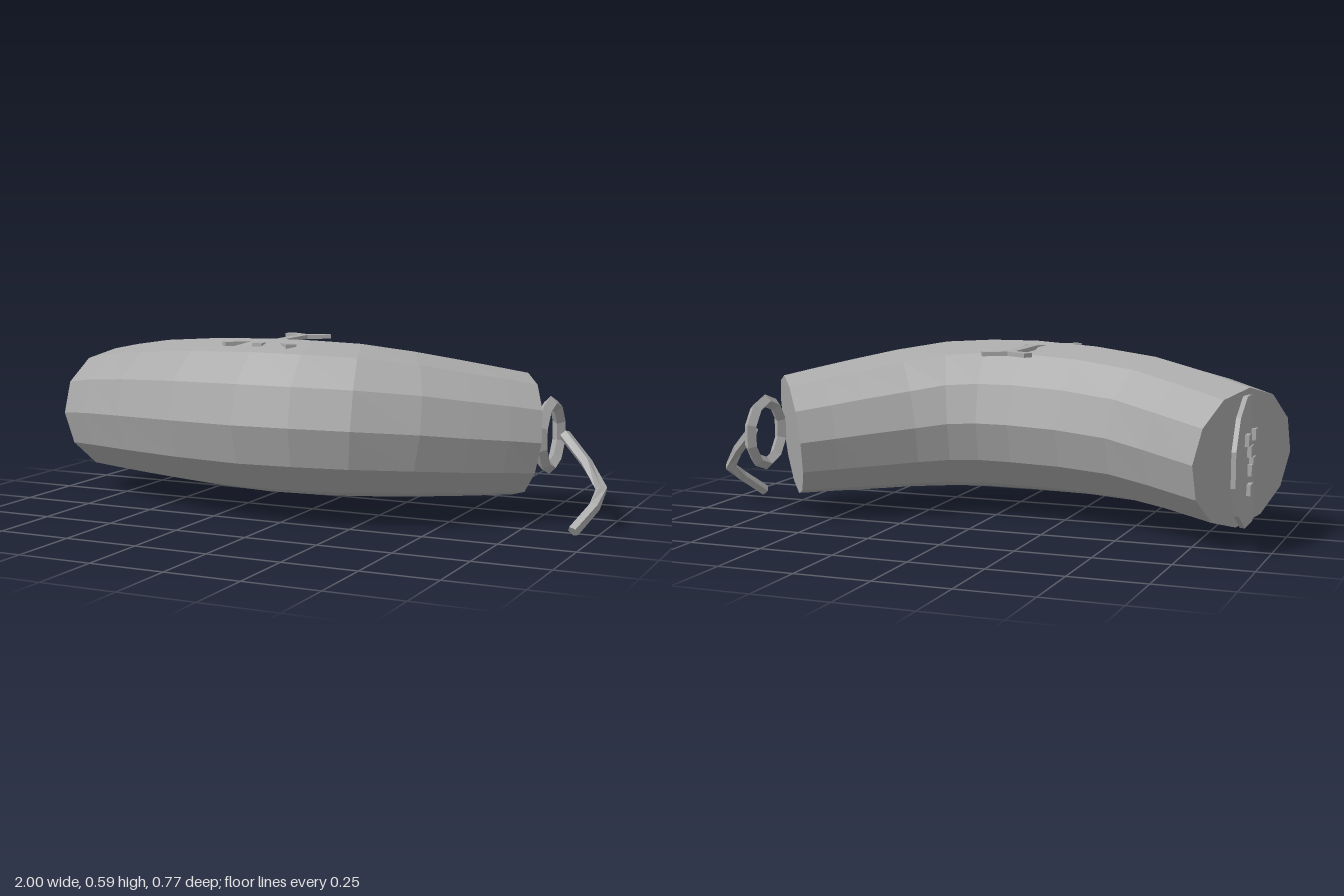
import * as THREE from 'three';

const grey = new THREE.MeshStandardMaterial({ color: 0xaaaaaa });
grey.name = 'plain grey';

// Faceted mesh: every face keeps its own normal
function part(name, geometry) {
  const flat = geometry.index ? geometry.toNonIndexed() : geometry;
  flat.computeVertexNormals();
  const mesh = new THREE.Mesh(flat, grey);
  mesh.name = name;
  return mesh;
}

const spline = (points) => new THREE.CatmullRomCurve3(points.map((p) => new THREE.Vector3(...p)));

// Capped polygonal tube along a curve, with a radius for each position t
function loft(curve, radiusAt, steps, sides, turn = 0) {
  const up = new THREE.Vector3(0, 1, 0);
  const pos = [], index = [];
  for (let i = 0; i <= steps; i++) {
    const t = i / steps;
    const c = curve.getPoint(t), dir = curve.getTangent(t), r = radiusAt(t);
    const n = new THREE.Vector3().crossVectors(dir, up).normalize();
    const v = new THREE.Vector3().crossVectors(n, dir);
    for (let j = 0; j < sides; j++) {
      const a = turn + (j / sides) * Math.PI * 2;
      const p = c.clone().addScaledVector(n, r * Math.cos(a)).addScaledVector(v, r * Math.sin(a));
      pos.push(p.x, p.y, p.z);
    }
  }
  const last = steps * sides;
  for (let j = 0; j < sides; j++) {
    const k = (j + 1) % sides;
    for (let i = 0; i < steps; i++) {
      const a = i * sides, b = a + sides;
      index.push(a + j, b + j, a + k, a + k, b + j, b + k);
    }
    if (j > 0 && j < sides - 1) index.push(0, j, k, last, last + k, last + j);
  }
  const g = new THREE.BufferGeometry();
  g.setAttribute('position', new THREE.Float32BufferAttribute(pos, 3));
  g.setIndex(index);
  return g;
}

// Flat bar lying on the top, from one (x, z) point to another
function bar(name, x0, z0, x1, z1) {
  const g = new THREE.BoxGeometry(Math.hypot(x1 - x0, z1 - z0), 0.014, 0.035);
  g.rotateY(-Math.atan2(z1 - z0, x1 - x0));
  g.translate((x0 + x1) / 2, 0.58, (z0 + z1) / 2);
  return part(name, g);
}

export function createModel() {
  const model = new THREE.Group();
  model.name = 'curvedSausage';

  // Curved body, fattest in the middle
  const path = spline([
    [-0.8875, 0.28, -0.175], [-0.535, 0.322, 0.03], [-0.1, 0.337, 0.125],
    [0.2, 0.333, 0.085], [0.48, 0.302, -0.08], [0.67, 0.277, -0.22],
  ]);
  const radii = spline([[0.225, 0, 0], [0.245, 0, 0], [0.26, 0, 0], [0.255, 0, 0], [0.23, 0, 0], [0.207, 0, 0]]);
  model.add(part('body', loft(path, (t) => radii.getPoint(t).x, 10, 12)));

  // Ring at the left end
  const ring = new THREE.TorusGeometry(0.109, 0.0225, 4, 10);
  ring.rotateZ(Math.PI / 2);
  ring.rotateY(Math.PI / 2);
  ring.translate(0.772, 0.28, -0.218);
  model.add(part('endRing', ring));

  // Bent cord hanging beyond the ring
  const cord = spline([
    [0.82, 0.285, -0.222], [0.91, 0.205, -0.17], [0.978, 0.13, -0.115], [0.973, 0.085, -0.045], [0.93, 0.018, 0.043],
  ]);
  model.add(part('cord', loft(cord, () => 0.02, 4, 5)));

  // Upright disc at the right end
  const disc = new THREE.CylinderGeometry(0.212, 0.212, 0.015, 12);
  disc.rotateZ(Math.PI / 2);
  disc.rotateX(Math.PI / 12);
  disc.translate(-0.905, 0.277, -0.185);
  model.add(part('endDisc', disc));

  // Small studs on the disc
  const studs = new THREE.Group();
  studs.name = 'discStuds';
  for (const [y, z] of [[0.35, -0.25], [0.355, -0.15], [0.31, -0.21], [0.27, -0.18], [0.25, -0.2], [0.19, -0.21]]) {
    const g = new THREE.BoxGeometry(0.016, 0.036, 0.04);
    g.translate(-0.918, y, z);
    studs.add(part('stud', g));
  }
  model.add(studs);

  // Thin forked twig on the top, partly sunk into the body
  const twig = new THREE.Group();
  twig.name = 'topTwig';
  twig.add(bar('stem', -0.11, -0.18, -0.11, 0.2));
  for (const s of [-1, 1]) {
    twig.add(bar('backFork', -0.11, -0.165, -0.11 + s * 0.08, -0.21));
    twig.add(bar('frontFork', -0.11, 0.07, -0.11 + s * 0.125, 0.195));
  }
  model.add(twig);

  return model;
}
